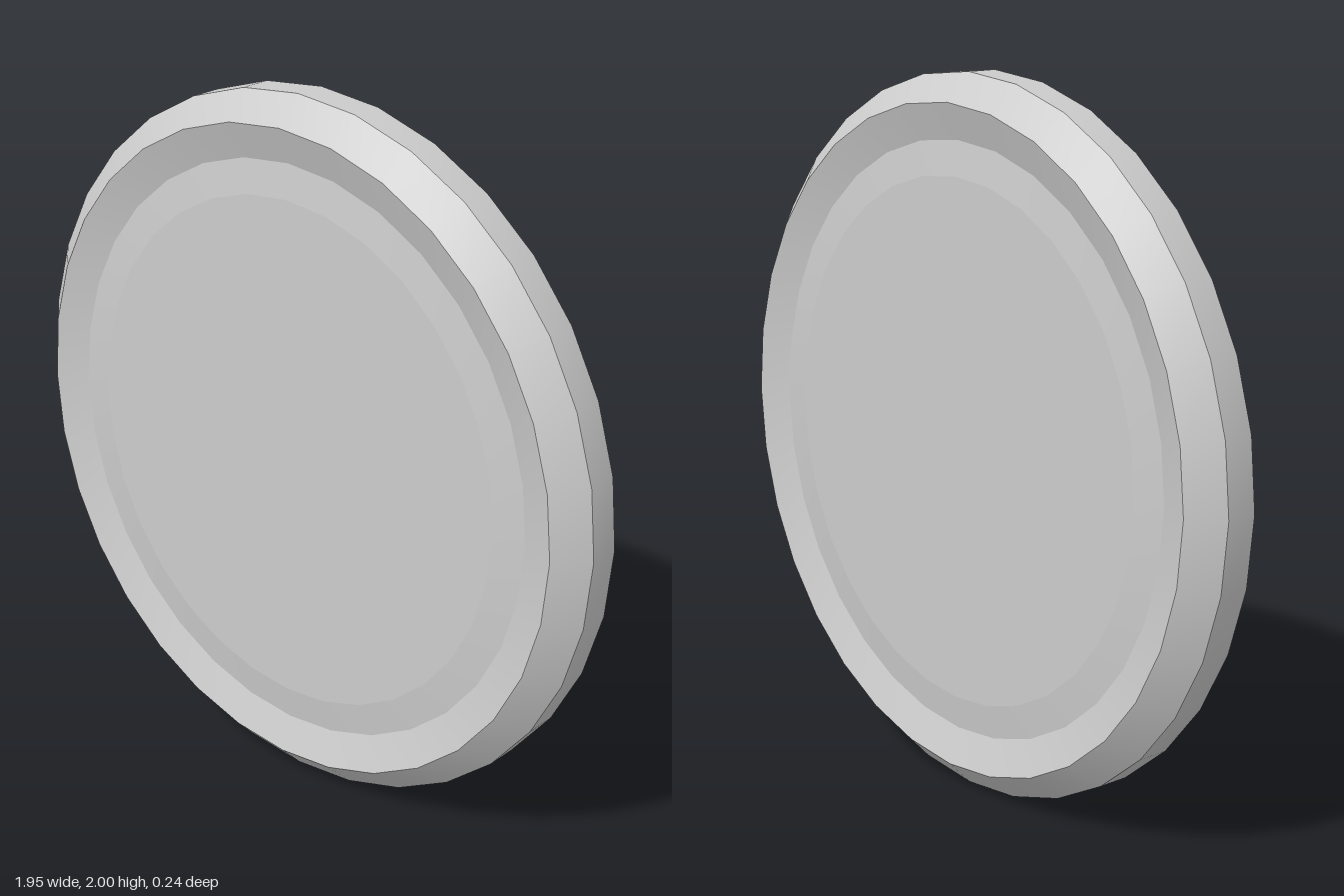
import * as THREE from 'three';

const SIDES = 32;

// One band between two oval outlines [rx, ry, z], smooth around and sharp at its borders
function band(from, to) {
  const positions = [], index = [];
  for (let i = 0; i < SIDES; i++) {
    const a = (i / SIDES) * Math.PI * 2;
    for (const [rx, ry, z] of [from, to]) positions.push(rx * Math.cos(a), ry * Math.sin(a), z);
    const p = i * 2, q = ((i + 1) % SIDES) * 2;
    index.push(p, p + 1, q + 1, p, q + 1, q);
  }
  const geometry = new THREE.BufferGeometry();
  geometry.setAttribute('position', new THREE.Float32BufferAttribute(positions, 3));
  geometry.setIndex(index);
  geometry.computeVertexNormals();
  return geometry;
}

export function createModel() {
  const group = new THREE.Group();
  const material = new THREE.MeshStandardMaterial({ color: 0xcccccc });
  const add = (name, geometry) => {
    const mesh = new THREE.Mesh(geometry, material);
    mesh.name = name;
    mesh.position.y = 1;
    group.add(mesh);
    return mesh;
  };

  // Outlines from the centre plate to the outer rim
  const plate = [0.70, 0.73, 0.095];
  const groove = [0.795, 0.825, 0.084];
  const ridge = [0.895, 0.925, 0.118];
  const rim = [0.975, 1.0, 0.045];
  const back = ([rx, ry, z]) => [rx, ry, -z];

  // Front and back: plate border, inner slope of the frame, outer bevel
  const bands = [['plateBorder', plate, groove], ['frameInnerSlope', groove, ridge], ['frameOuterBevel', ridge, rim]];
  for (const [name, inner, outer] of bands) {
    add(name + 'Front', band(inner, outer));
    add(name + 'Back', band(back(outer), back(inner)));
  }

  // Narrow outer edge
  add('rimEdge', band(rim, back(rim)));

  // Flat centre plates
  for (const side of [1, -1]) {
    const mesh = add(side > 0 ? 'plateFront' : 'plateBack', new THREE.CircleGeometry(1, SIDES));
    mesh.scale.set(plate[0], plate[1], 1);
    mesh.position.z = side * plate[2];
    if (side < 0) mesh.rotation.y = Math.PI;
  }
  return group;
}
